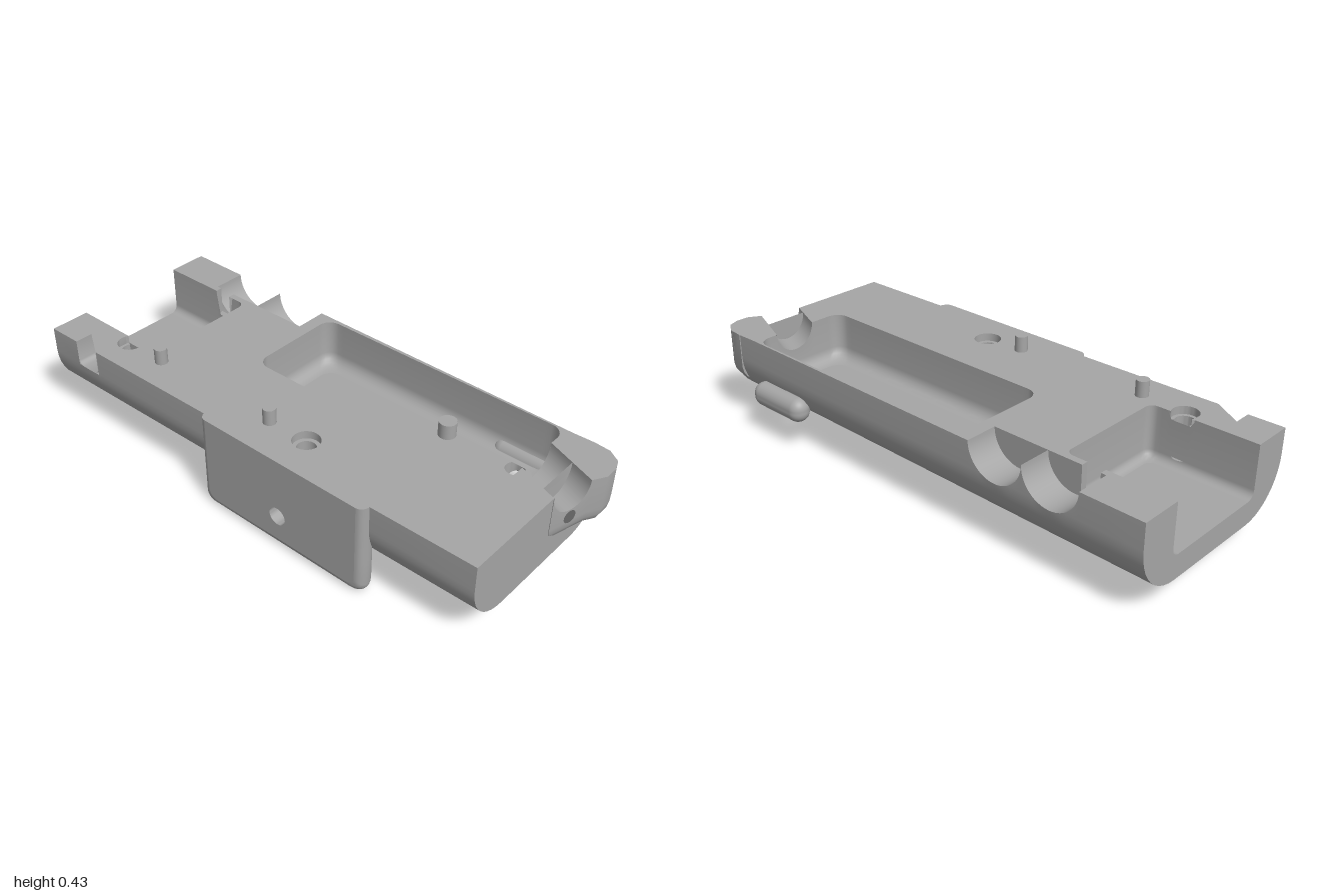
import * as THREE from 'three';
import { toCreasedNormals } from 'three/addons/utils/BufferGeometryUtils.js';
import { RoundedBoxGeometry } from 'three/addons/geometries/RoundedBoxGeometry.js';

const TOP = 0.365;
const PI = Math.PI;

// Surface stretched over a list of equally long point rings
function skin(rings, closed = false, skip = () => false) {
  const n = rings[0].length, index = [];
  for (let k = 0; k < rings.length - 1; k++) {
    for (let j = 0; j < (closed ? n : n - 1); j++) {
      if (skip(k, j)) continue;
      const a = k * n + j, b = k * n + (j + 1) % n;
      index.push(a, b, a + n, b, b + n, a + n);
    }
  }
  const g = new THREE.BufferGeometry();
  g.setAttribute('position', new THREE.Float32BufferAttribute(rings.flat(2), 3));
  g.setIndex(index);
  return toCreasedNormals(g, 0.55);
}

// Filled outline with holes, placed in space by a mapping rule
function face(pts, map, holes = []) {
  const v = (list) => list.map(([a, b]) => new THREE.Vector2(a, b));
  const shape = new THREE.Shape(v(pts));
  holes.forEach((h) => shape.holes.push(new THREE.Path(v(h))));
  const g = new THREE.ShapeGeometry(shape), p = g.attributes.position;
  for (let i = 0; i < p.count; i++) p.setXYZ(i, ...map(p.getX(i), p.getY(i)));
  return toCreasedNormals(g, 0.55);
}

function arc(cx, cz, r, a0 = 0, a1 = 2 * PI, n = 28) {
  return Array.from({ length: n + 1 }, (_, i) => {
    const a = a0 + (a1 - a0) * i / n;
    return [cx + r * Math.cos(a), cz + r * Math.sin(a)];
  });
}
const circle = (cx, cz, r) => arc(cx, cz, r).slice(0, -1);

// Rounded rectangle: seven points per corner, n extra points per side
function roundRect(x0, x1, z0, z1, r, n = 0) {
  const c = [[x1 - r, z1 - r], [x0 + r, z1 - r], [x0 + r, z0 + r], [x1 - r, z0 + r]];
  const corners = c.map(([x, z], i) => arc(x, z, r, i * PI / 2, (i + 1) * PI / 2, 6));
  return corners.flatMap((pts, i) => {
    const [a, b] = pts[6], [e, f] = corners[(i + 1) % 4][0];
    const side = Array.from({ length: n }, (_, k) => {
      const t = (k + 1) / (n + 1);
      return [a + (e - a) * t, b + (f - b) * t];
    });
    return [...pts, ...side];
  });
}

const at = (y) => ([x, z]) => [x, y, z];
const flat = (y) => (x, z) => [x, y, z];

// Tapering hull section, rounded below
const zFront = (x) => 0.375 - 0.01 * x;
const zBack = (x) => -0.368 + 0.0075 * x;
const bottom = (x) => 0.09 + 0.0085 * x;

// Twin scoops in the back edge
const R = 0.11125;
const scoopPath = [-0.65375, -0.43125].flatMap((c) => arc(c, TOP, R, PI, 2 * PI, 24));
function backTop(x) {
  if (x < -0.765 || x > -0.32) return TOP;
  const c = x < -0.5425 ? -0.65375 : -0.43125;
  return TOP - Math.sqrt(Math.max(0, R * R - (x - c) ** 2));
}
const frontTop = (x) => (x > -0.8655 && x < -0.7545 ? 0.265 : TOP);

function section(x) {
  const side = (edge, s, top) => {
    const pts = [[x, top, edge]];
    for (let i = 0; i <= 10; i++) {
      const a = i * PI / 20;
      const y = 0.27 - (0.27 - bottom(x)) * Math.sin(a);
      pts.push([x, Math.min(y, top), s * 0.2 + (edge - s * 0.2) * Math.cos(a)]);
    }
    return pts;
  };
  return [...side(zBack(x), -1, backTop(x)), ...side(zFront(x), 1, frontTop(x)).reverse()];
}
function hullY(x, z) {
  const c = Math.min(1, (z + 0.2) / (zBack(x) + 0.2));
  return 0.27 - (0.27 - bottom(x)) * Math.sqrt(1 - c * c);
}

// Slanted channel through the right wall
const RC = 0.085;
const channelZ = (x) => -0.185 + (x - 0.77) * 0.39;
const channelTop = (x, z) => TOP - Math.sqrt(Math.max(0, RC * RC - (z - channelZ(x)) ** 2));

export function createModel() {
  const model = new THREE.Group();
  const grey = new THREE.MeshStandardMaterial({ color: 0xa6a6a6, side: THREE.DoubleSide });
  grey.name = 'grey plastic';
  const dark = new THREE.MeshStandardMaterial({ color: 0x686868, side: THREE.DoubleSide });
  dark.name = 'dark bore';
  const add = (name, geo, mat = grey) => {
    const m = new THREE.Mesh(geo, mat);
    m.name = name;
    model.add(m);
    return m;
  };

  // Outer hull, with an opening for the drain hole
  const xs = [-1, -0.866, -0.865, -0.755, -0.754, 0.6, 0.7, 0.93, ...scoopPath.map((p) => p[0])];
  xs.sort((a, b) => a - b);
  const hole = xs.indexOf(0.6);
  add('hull', skin(xs.map(section), false, (k, j) => k === hole && j >= 5 && j < 10));
  const edge = (x) => section(x).slice(5, 11).map((p) => [x, p[2]]);
  const drain = circle(0.65, -0.28, 0.036);
  add('hullDrainPatch', face([...edge(0.6), ...edge(0.7).reverse()],
    (x, z) => [x, hullY(x, z), z], [drain]));
  add('drainBore', skin([drain.map(at(0.18)), drain.map(([x, z]) => [x, hullY(x, z), z])], true));

  // Flat top face
  const lugEdge = Array.from({ length: 17 }, (_, i) => {
    const u = Math.cos(i * PI / 16), x = 0.952 - 0.02 * u;
    return [x, channelZ(x) + u * RC];
  });
  const lugTip = [[1, -0.24], [1, -0.29], [0.985, -0.33], [0.94, -0.36], [0.88, -0.365]];
  const A = [-0.27, 0.775, -0.355, 0.035], B = [-1.4, -0.59, -0.22, 0.23];
  const rimA = roundRect(...A, 0.05).reverse(), rimB = roundRect(...B, 0.03).reverse();
  add('topFace', face([
    [-0.675, -0.245], [-0.32, -0.245], [-0.32, zBack(-0.32)], [0.8, zBack(0.8)],
    ...[...lugTip].reverse(), lugEdge[16], [0.775, channelZ(0.775) - RC],
    ...rimA, [0.775, channelZ(0.775) + RC], [0.93, channelZ(0.93) + RC],
    [0.93, zFront(0.93)], [-0.755, zFront(-0.755)], [-0.755, 0.24], [-0.865, 0.24],
    [-0.865, zFront(-0.865)], [-1, zFront(-1)], [-1, 0.23],
    ...arc(-0.71, 0.255, 0.048, PI + 0.55, -0.55),
    ...rimB.slice(21), ...rimB.slice(0, 7), [-0.675, -0.22],
  ], flat(TOP), [circle(0.17, 0.255, 0.05)]));
  add('backArmTop', face([[-1, zBack(-1)], [-0.765, zBack(-0.765)], [-0.765, -0.245],
    [-0.745, -0.245], [-0.745, -0.22], [-1, -0.22]], flat(TOP)));

  // Pockets with filleted floors
  function pocket(name, [x0, x1, z0, z1], r, floor, f, topY, holes = []) {
    const ring = (d) => roundRect(x0 + d, x1 - d, z0 + d, z1 - d, r, 40)
      .map(([x, z]) => [Math.max(x, -1), z]);
    const rings = [ring(0).map(([x, z]) => [x, topY(x, z), z])];
    for (let i = 0; i <= 6; i++) {
      const a = i * PI / 12;
      rings.push(ring(f * (1 - Math.cos(a))).map(at(floor + f * (1 - Math.sin(a)))));
    }
    const n = rings[0].length;
    add(name + 'Wall', skin(rings, true,
      (k, j) => rings[k][j][0] <= -1 && rings[k][(j + 1) % n][0] <= -1));
    const base = ring(f).filter(([x], i, l) => x > -1 || l[(i + 1) % n][0] > -1 || l[(i + n - 1) % n][0] > -1);
    add(name + 'Floor', face(base, flat(floor), holes));
  }
  pocket('mainPocket', A, 0.05, 0.18, 0.05, (x, z) => (x > 0.77 ? channelTop(x, z) : TOP), [drain]);
  pocket('endPocket', B, 0.03, 0.17, 0.03, (x, z) => {
    const d = Math.abs(x + 0.71);
    return z < -0.21 && d < 0.036 ? 0.26 : z > 0.22 && d < 0.042 ? 0.335 : TOP;
  });

  // End faces
  const endPts = (x) => section(x).map((p) => [p[2], p[1]]);
  add('rightEnd', face([...endPts(0.93), ...arc(channelZ(0.93), TOP, RC, 0, -PI, 20)],
    (z, y) => [0.93, y, z]));
  add('leftEnd', face([...endPts(-1), [0.23, TOP], ...arc(0.2, 0.2, 0.03, 0, -PI / 2, 6),
    ...arc(-0.19, 0.2, 0.03, -PI / 2, -PI, 6), [-0.22, TOP]], (z, y) => [-1, y, z]));

  // Slanted channel and rounded lug beyond the right end
  add('channel', skin([
    lugEdge.map((_, i) => {
      const z = channelZ(0.775) + RC * Math.cos(i * PI / 16);
      return [0.775, channelTop(0.775, z), z];
    }),
    lugEdge.map(([x, z]) => [x, channelTop(x, z), z])]));
  const lug = [...lugEdge, ...lugTip, [0.88, -0.05]];
  const lugRing = (s) => lug.map(([x, z]) => [0.89 + (x - 0.89) * s, -0.22 + (z + 0.22) * s]);
  add('lug', skin([lug.map(([x, z]) => [x, channelTop(x, z), z]),
    ...[[1, 0.23], [0.96, 0.205], [0.87, 0.185], [0.7, 0.17], [0.45, 0.163]]
      .map(([s, y]) => lugRing(s).map(at(y)))], true));
  add('lugBase', face(lugRing(0.45), flat(0.163)));
  const bore = add('lugBore', new THREE.CircleGeometry(0.025, 24), dark);
  bore.position.set(0.956, 0.255, -0.113);
  bore.rotation.y = 1.318;

  // Scoops and the slot through their inner wall
  add('backScoops', skin([scoopPath.map(([x, y]) => [x, y, zBack(x)]),
    scoopPath.map(([x, y]) => [x, y, -0.245])]));
  const inner = (x, y) => [x, y, -0.245];
  add('scoopWallLeft', face([...scoopPath.filter((p) => p[0] < -0.745),
    [-0.745, backTop(-0.745)], [-0.745, TOP]], inner));
  add('scoopWallRight', face([[-0.675, TOP], [-0.675, backTop(-0.675)],
    ...scoopPath.filter((p) => p[0] > -0.675)], inner));
  const slot = [[-0.745, TOP], [-0.745, 0.26], [-0.675, 0.26], [-0.675, TOP]];
  add('wallSlot', skin([-0.245, -0.22].map((z) => slot.map(([x, y]) => [x, y, z]))));

  // Square notch in the front edge
  const notch = [[-0.865, TOP], ...arc(-0.84, 0.29, 0.025, PI, 1.5 * PI, 5),
    ...arc(-0.78, 0.29, 0.025, 1.5 * PI, 2 * PI, 5), [-0.755, TOP]];
  add('frontNotch', skin([0.24, 0.384].map((z) => notch.map(([x, y]) => [x, y, z]))));
  add('frontNotchBack', face(notch, (x, y) => [x, y, 0.24]));

  // Stepped screw holes
  for (const [x, r, a0, a1] of [[0.17, 0.05, 0, 2 * PI], [-0.71, 0.048, -0.55, PI + 0.55]]) {
    const wide = arc(x, 0.255, r, a0, a1), narrow = arc(x, 0.255, 0.035, a0, a1);
    add('screwHole', skin([wide.map(at(TOP)), wide.map(at(0.335)), narrow.map(at(0.335)),
      narrow.map(at(0.2))]));
    add('screwHoleFloor', face(circle(x, 0.255, 0.035), flat(0.2)));
  }

  // Locating pegs
  for (const [x, y, z, r] of [[-0.53, TOP, 0.262, 0.024], [0.01, TOP, 0.262, 0.024], [0.36, 0.18, -0.28, 0.034]]) {
    add('peg', new THREE.CylinderGeometry(r, r, 0.06, 28)).position.set(x, y + 0.03, z);
  }

  // Hanging front tab with a rounded rim and a through hole
  const tabRing = (d) => roundRect(-0.19 + d, 0.535 - d, d, 0.6, 0.035, 4)
    .map(([x, y]) => [x, Math.min(y, TOP)]);
  const tabRings = Array.from({ length: 13 }, (_, i) => {
    const a = -PI / 2 + i * PI / 12;
    return tabRing(0.03 * (1 - Math.cos(a))).map(([x, y]) => [x, y, 0.365 + 0.037 * Math.sin(a)]);
  });
  add('frontTabRim', skin(tabRings, true));
  const eye = circle(0.17, 0.13, 0.035);
  const tabFace = tabRing(0.03).filter(([, y]) => y < TOP);
  const corners = [[-0.16, TOP], [0.505, TOP]];
  for (const z of [0.328, 0.402]) {
    add('frontTabFace', face([...corners.slice(0, 1), ...tabFace, ...corners.slice(1)], (x, y) => [x, y, z], [eye]));
  }
  add('frontTabHole', skin([0.328, 0.402].map((z) => eye.map(([x, y]) => [x, y, z])), true));

  // Rounded pad on the back
  add('backPad', new RoundedBoxGeometry(0.275, 0.095, 0.085, 6, 0.042)).position.set(0.648, 0.163, -0.362);

  return model;
}
